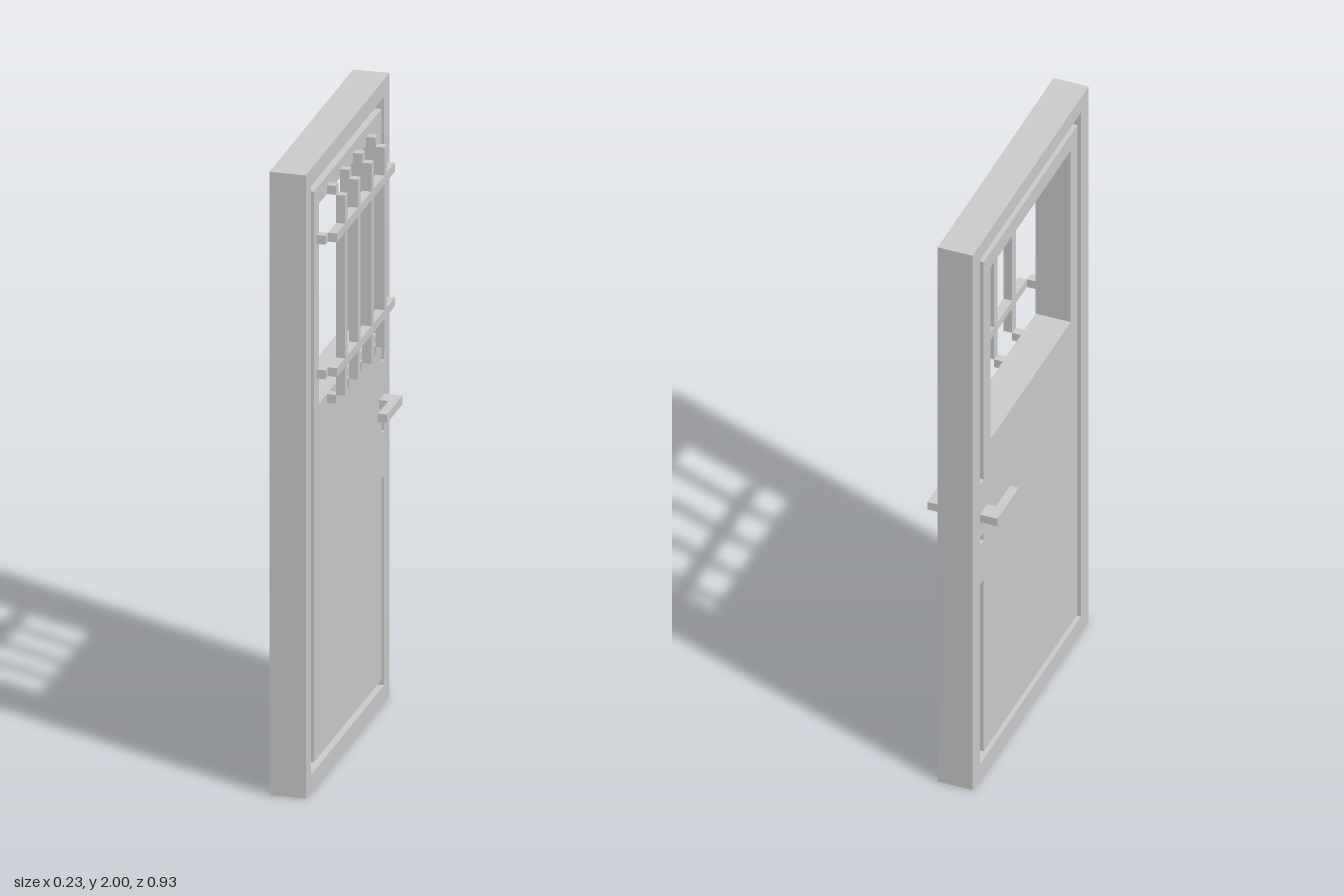
import * as THREE from 'three';
import { mergeGeometries } from 'three/addons/utils/BufferGeometryUtils.js';

const T = 0.057;   // half thickness of the slab
const S = 0.0285;  // bar thickness and groove depth
const W = 0.463;   // half width of the slab
const WIN = { z: 0.32, y0: 1.216, y1: 1.858 };

const rect = (u0, y0, u1, y1) => [[u0, y0], [u1, y0], [u1, y1], [u0, y1]];
const slabOutline = rect(-W, 0, W, 2);
const windowOutline = rect(-WIN.z, WIN.y0, WIN.z, WIN.y1);
const keyhole = rect(0.375, 0.875, 0.404, 0.904);
// C-shaped groove, interrupted around the lock
const groove = [
  [0.404, 0.73], [0.404, 0.056], [-0.404, 0.056], [-0.404, 1.945], [0.404, 1.945], [0.404, 1.102],
  [0.375, 1.102], [0.375, 1.916], [-0.375, 1.916], [-0.375, 0.085], [0.375, 0.085], [0.375, 0.73],
];

const vecs = (pts) => pts.map(([u, y]) => new THREE.Vector2(u, y));

// Flat area facing +z, with optional holes
function flat(pts, z, holes = []) {
  const shape = new THREE.Shape(vecs(pts));
  shape.holes = holes.map((h) => new THREE.Path(vecs(h)));
  const g = new THREE.ShapeGeometry(shape).toNonIndexed().translate(0, 0, z);
  g.deleteAttribute('uv');
  return g;
}

// Side walls along an outline; a hole's walls face inward
function walls(pts, z0, z1, isHole) {
  const p = vecs(pts);
  if (THREE.ShapeUtils.isClockWise(p) !== isHole) p.reverse();
  const pos = [];
  p.forEach((a, i) => {
    const b = p[(i + 1) % p.length];
    pos.push(a.x, a.y, z0, b.x, b.y, z0, b.x, b.y, z1);
    pos.push(a.x, a.y, z0, b.x, b.y, z1, a.x, a.y, z1);
  });
  const g = new THREE.BufferGeometry();
  g.setAttribute('position', new THREE.Float32BufferAttribute(pos, 3));
  g.computeVertexNormals();
  return g;
}

// One grooved face of the door, turned to the +x or -x side
function doorFace(side) {
  const turn = (pts) => pts.map(([u, y]) => [u * side, y]);
  const recesses = [turn(groove), turn(keyhole)];
  const parts = [flat(slabOutline, T, [windowOutline, ...recesses])];
  for (const r of recesses) parts.push(flat(r, T - S), walls(r, T - S, T, true));
  return mergeGeometries(parts).rotateY(side * Math.PI / 2);
}

export function createModel() {
  const model = new THREE.Group();
  model.name = 'door';
  const material = new THREE.MeshStandardMaterial({ color: 0xcccccc, flatShading: true });

  const add = (parent, name, geometry) => {
    const mesh = new THREE.Mesh(geometry, material);
    mesh.name = name;
    parent.add(mesh);
  };
  // Box given by its two extreme corners
  const box = (parent, name, x0, x1, y0, y1, z0, z1) => add(parent, name,
    new THREE.BoxGeometry(x1 - x0, y1 - y0, z1 - z0)
      .translate((x0 + x1) / 2, (y0 + y1) / 2, (z0 + z1) / 2));

  // Slab: two grooved faces, outer edges and window reveal
  const edges = mergeGeometries([walls(slabOutline, -T, T, false), walls(windowOutline, -T, T, true)]);
  add(model, 'doorSlab', mergeGeometries([doorFace(1), doorFace(-1), edges.rotateY(Math.PI / 2)]));

  // Window grille on the outer (+x) side
  const grille = new THREE.Group();
  grille.name = 'windowGrille';
  model.add(grille);
  const h = S / 2, inner = T + S, outer = T + 2 * S;
  for (const z of [-0.219, -0.074, 0.072, 0.217]) {
    box(grille, 'verticalBar', inner, outer, WIN.y0, WIN.y1, z - h, z + h);
    box(grille, 'barFoot', T, inner, WIN.y0 - S, WIN.y0, z - h, z + h);
    box(grille, 'barFoot', T, inner, WIN.y1, WIN.y1 + S, z - h, z + h);
  }
  for (const y of [1.322, 1.754]) {
    box(grille, 'horizontalBar', inner, outer, y - h, y + h, -WIN.z, WIN.z);
    box(grille, 'barFoot', T, inner, y - h, y + h, -WIN.z - S, -WIN.z);
    box(grille, 'barFoot', T, inner, y - h, y + h, WIN.z, WIN.z + S);
  }

  // Lever handle on each side
  for (const side of [1, -1]) {
    const handle = new THREE.Group();
    handle.name = side > 0 ? 'outerHandle' : 'innerHandle';
    model.add(handle);
    const span = (a, b) => (side > 0 ? [a, b] : [-b, -a]);
    box(handle, 'handleStem', ...span(T, outer), 0.963, 0.991, -0.405, -0.348);
    box(handle, 'handleLever', ...span(inner, outer), 0.963, 0.991, -0.348, -0.234);
  }
  return model;
}
